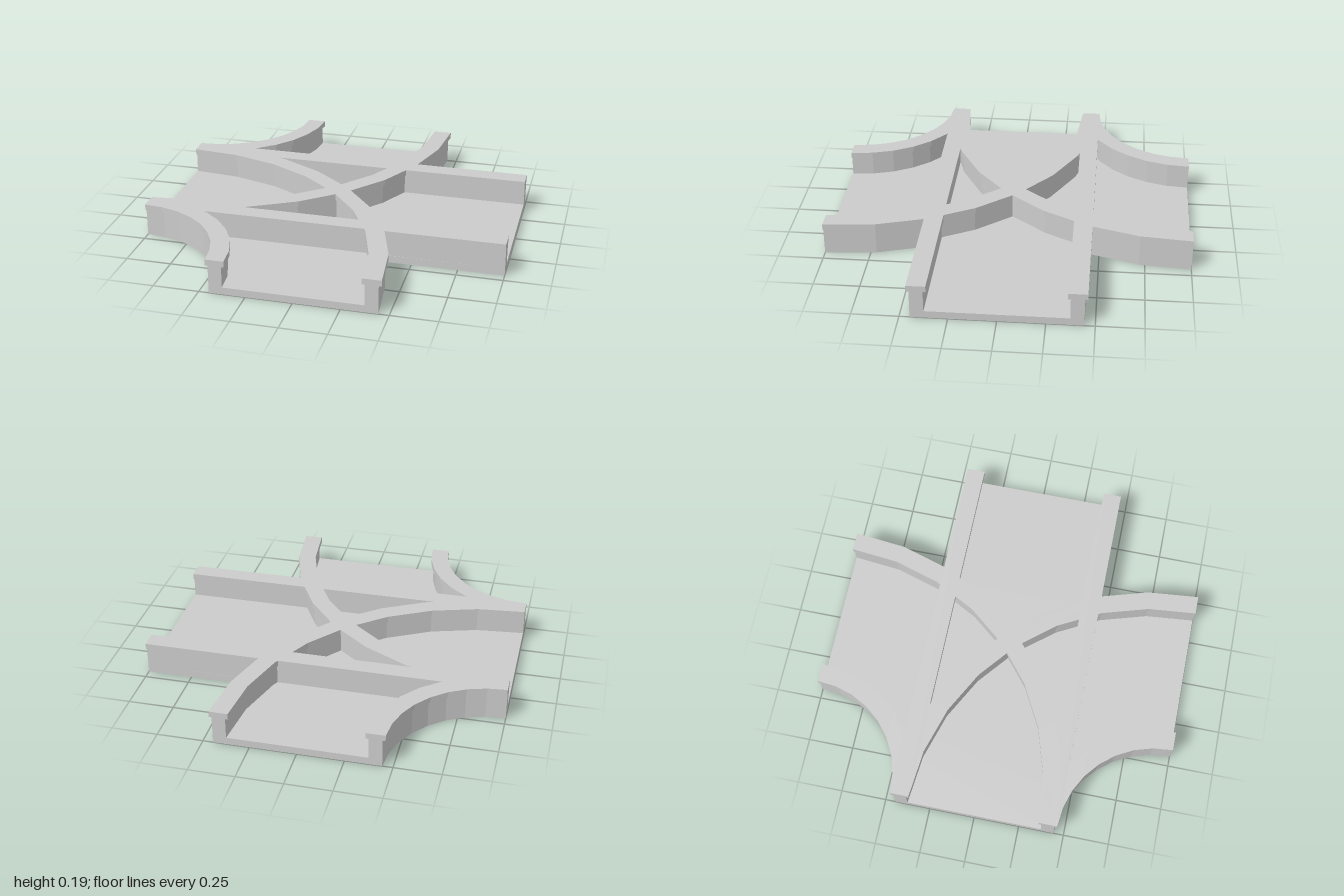
import * as THREE from 'three';

const FLOOR = 0.04, LIP = 0.157, TOP = 0.19; // heights
const IN = 0.373, OUT = 0.445;               // wall faces, from channel centre
const LIP_IN = 0.358, LIP_OUT = 0.46;        // lip faces, from channel centre
const SEG = 8;                               // segments per quarter turn

// Points of a quarter turn about the corner (-1, side), from step a to step b
function arc(r, side, a = 0, b = SEG) {
  const pts = [], dir = Math.sign(b - a);
  for (let k = a; k !== b + dir; k += dir) {
    const t = (k / SEG) * Math.PI / 2;
    pts.push(new THREE.Vector2(-1 + r * Math.cos(t), side * (1 - r * Math.sin(t))));
  }
  return pts;
}

// Ground outline raised from y0 to y1
function slab(name, pts, y0, y1) {
  const geo = new THREE.ExtrudeGeometry(new THREE.Shape(pts), { depth: y1 - y0, bevelEnabled: false });
  geo.rotateX(-Math.PI / 2).translate(0, y0, 0);
  const mesh = new THREE.Mesh(geo, new THREE.MeshStandardMaterial({ color: 0xcccccc, flatShading: true }));
  mesh.name = name;
  return mesh;
}

// Wall with a wider lip on top; outline(a, b) gives the footprint between two offsets
function wall(name, outline) {
  const g = new THREE.Group();
  g.name = name;
  g.add(slab(name + 'Web', outline(IN, OUT), FLOOR, LIP));
  g.add(slab(name + 'Lip', outline(LIP_IN, LIP_OUT), LIP, TOP));
  return g;
}

export function createModel() {
  const model = new THREE.Group();
  model.name = 'trackJunction';

  // Floor: straight channel joined with the two curved branches
  const half = [
    new THREE.Vector2(1, OUT),
    ...arc(1 + OUT, 1, 2, 0),
    ...arc(1 - OUT, 1),
  ];
  const mirrored = half.map(p => new THREE.Vector2(p.x, -p.y)).reverse();
  model.add(slab('floor', [...half, ...mirrored], 0, FLOOR));

  for (const side of [1, -1]) {
    const tag = side > 0 ? 'Back' : 'Front';

    // Straight wall along x
    model.add(wall('straightWall' + tag, (a, b) => [
      new THREE.Vector2(-1, side * a), new THREE.Vector2(1, side * a),
      new THREE.Vector2(1, side * b), new THREE.Vector2(-1, side * b),
    ]));

    // Wide curve crossing the junction
    model.add(wall('wideCurveWall' + tag, (a, b) =>
      [...arc(1 + a, side), ...arc(1 + b, side, SEG, 0)]));

    // Tight curve at the left corner
    model.add(wall('tightCurveWall' + tag, (a, b) =>
      [...arc(1 - a, side), ...arc(1 - b, side, SEG, 0)]));
  }
  return model;
}
